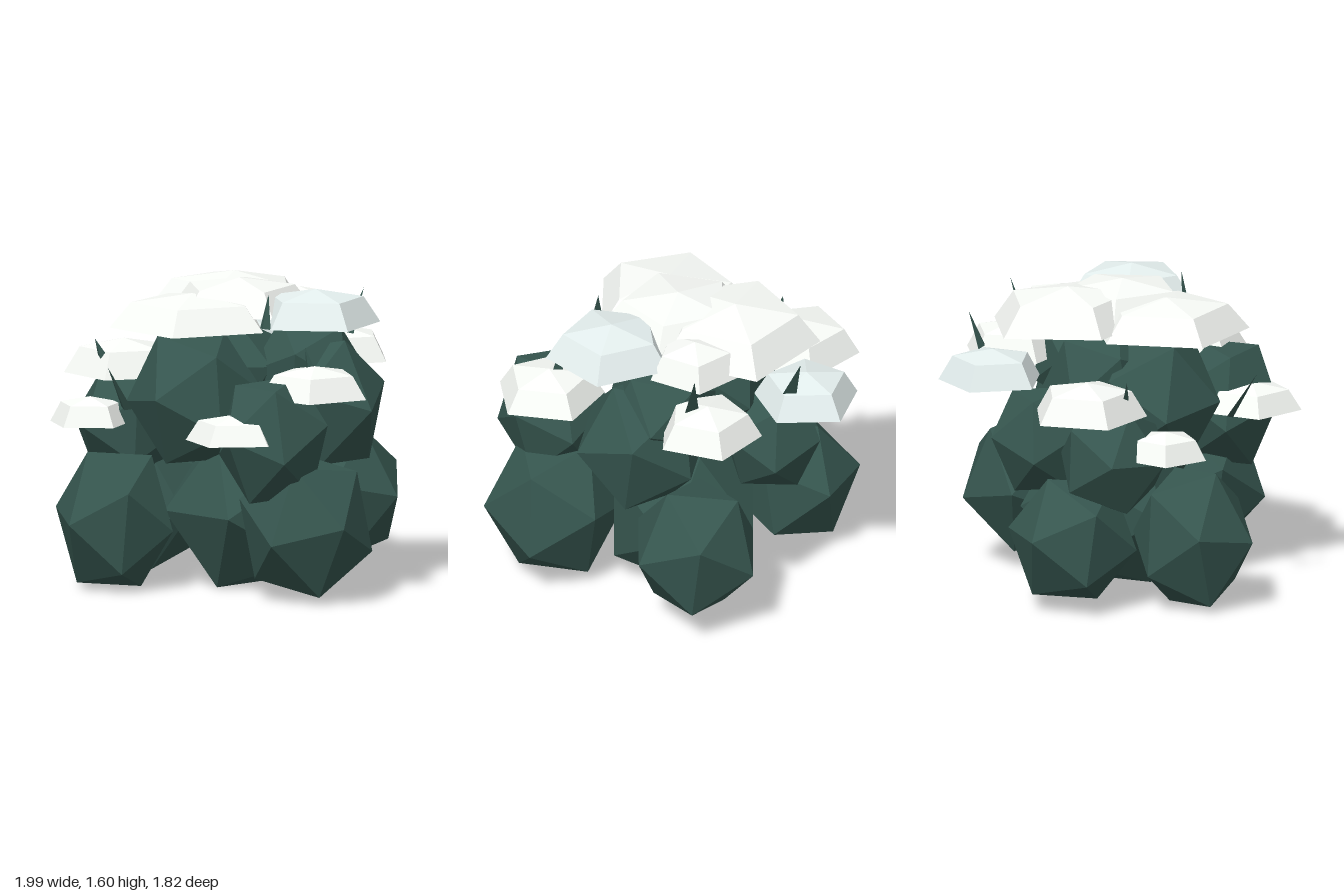
import * as THREE from 'three';

const V = (x, y, z) => new THREE.Vector3(x, y, z);
const rad = THREE.MathUtils.degToRad;
const PHI = (1 + Math.sqrt(5)) / 2;

// Rotation frame with z along dir and x leaning towards side
const frame = (dir, side) => {
  const z = dir.clone().normalize();
  const x = side.clone().addScaledVector(z, -side.dot(z)).normalize();
  return new THREE.Matrix4().makeBasis(x, z.clone().cross(x), z);
};

export function createModel() {
  const group = new THREE.Group();
  const leaf = new THREE.MeshStandardMaterial({ color: 0x36564f, flatShading: true });
  const snowMaterial = color => new THREE.MeshStandardMaterial({ color, flatShading: true, side: THREE.DoubleSide });
  const snow = snowMaterial(0xf8fbf7), ice = snowMaterial(0xe4efee);

  const add = (name, geometry, material) => {
    const mesh = new THREE.Mesh(geometry, material);
    mesh.name = name;
    group.add(mesh);
    return mesh;
  };

  // Faceted foliage clump: one corner points along dir, the next one towards side
  const clump = (name, pos, radii, dir, side) => {
    const g = new THREE.IcosahedronGeometry(1, 0);
    const local = frame(V(0, 1, PHI), V(0, -1, PHI)).transpose();
    g.applyMatrix4(frame(V(...dir), V(...side)).multiply(local));
    g.scale(...radii);
    add(name, g, leaf).position.set(...pos);
  };

  // Lower ring around a central clump
  [
    [[-0.35, 0.37, 0.58], [0.31, 0.41, 0.335], [0.03, 0, 1], [-0.17, 1, 0]],
    [[0.63, 0.4, 0.155], [0.37, 0.41, 0.36], [1, 0.05, 0.22], [0, -1, 0.1]],
    [[0.13, 0.445, -0.585], [0.35, 0.39, 0.345], [1, 0, -0.22], [0, 1, 0.1]],
    [[-0.64, 0.37, 0.03], [0.35, 0.36, 0.34], [-0.28, 0.92, -0.28], [-0.96, 0.11, -0.22]],
    [[0, 0.4, -0.06], [0.45, 0.46, 0.46], [1, 0, PHI], [-1, 0, PHI]],
  ].forEach(c => clump('lowerClump', ...c));

  // Upper clumps
  [
    [[-0.09, 1.0, 0.25], [0.375, 0.39, 0.345], [0.15, 0.05, 1], [-0.2, -1, 0]],
    [[0.57, 0.855, 0.33], [0.3, 0.37, 0.32], [-0.05, 0.08, 1], [0, -1, 0]],
    [[0.31, 0.95, -0.28], [0.36, 0.39, 0.335], [1, 0, 0], [0, 1, 0]],
    [[-0.6, 0.81, 0.24], [0.3, 0.31, 0.3], [-0.05, 0, 1], [-0.4, -1, 0]],
    [[-0.41, 0.82, -0.25], [0.28, 0.31, 0.28], [-0.7, 0.1, -0.7], [0, -1, 0]],
    [[-0.14, 1.1, -0.04], [0.33, 0.32, 0.31], [0.3, 1, 0.2], [1, 0, 0]],
    [[0.21, 1.12, -0.27], [0.31, 0.3, 0.31], [0.6, 0.8, -0.2], [1, 0, 0]],
  ].forEach(c => clump('upperClump', ...c));

  // Five-sided open snow cap: rim, shoulder ring and low apex
  const cap = (cx, cz, r, y0, y1, turn, tiltZ, material) => {
    const h = y1 - y0, p = [], index = [];
    [[1, 0], [0.74, 0.75]].forEach(([s, t]) => {
      for (let i = 0; i < 5; i++) {
        const a = rad(turn + i * 72);
        const x = Math.cos(a) * r * s, z = Math.sin(a) * r * s;
        p.push(cx + x, y0 + t * h + tiltZ * z, cz + z);
      }
    });
    p.push(cx, y1, cz);
    for (let i = 0; i < 5; i++) {
      const j = (i + 1) % 5;
      index.push(i, i + 5, j, j, i + 5, j + 5, i + 5, 10, j + 5);
    }
    const g = new THREE.BufferGeometry();
    g.setAttribute('position', new THREE.Float32BufferAttribute(p, 3));
    g.setIndex(index);
    g.computeVertexNormals();
    add('snowCap', g, material);
  };
  [
    [-0.06, 0.3, 0.43, 1.375, 1.55, 130, 0, snow],
    [0.0, 0.02, 0.39, 1.44, 1.61, 90, 0, snow],
    [-0.24, -0.18, 0.44, 1.4, 1.6, 204, 0.04, snow],
    [0.05, -0.36, 0.25, 1.36, 1.53, -75, 0, snow],
    [0.42, -0.12, 0.34, 1.4, 1.58, 15, 0, ice],
    [0.08, -0.63, 0.28, 1.13, 1.3, -85, 0, snow],
    [-0.52, -0.48, 0.28, 1.13, 1.3, 180, 0, ice],
    [-0.72, 0.15, 0.31, 1.05, 1.23, 207, 0, snow],
    [0.67, 0.13, 0.29, 1.07, 1.23, 50, 0, snow],
    [0.49, 0.53, 0.26, 0.86, 1.0, 75, 0, snow],
    [-0.58, 0.53, 0.22, 0.84, 0.98, 155, 0, snow],
  ].forEach(c => cap(...c));

  // Thin three-sided thorns from base to tip
  [
    [[-0.14, 0.98, 0.7], [-0.13, 1.21, 0.84]],
    [[-0.67, 1.14, 0.35], [-0.71, 1.25, 0.37]],
    [[0.63, 1.18, 0.12], [0.61, 1.32, 0.14]],
    [[0.38, 1.4, 0.21], [0.38, 1.58, 0.18]],
    [[0.16, 1.27, -0.6], [0.18, 1.5, -0.7]],
    [[-0.38, 1.27, -0.6], [-0.42, 1.46, -0.66]],
  ].forEach(([a, b]) => {
    const from = V(...a), to = V(...b), d = to.clone().sub(from);
    const thorn = add('thorn', new THREE.ConeGeometry(0.045, d.length(), 3).scale(1, 1, 0.3), leaf);
    thorn.position.copy(from).lerp(to, 0.5);
    thorn.quaternion.setFromUnitVectors(V(0, 1, 0), d.normalize());
  });

  return group;
}
